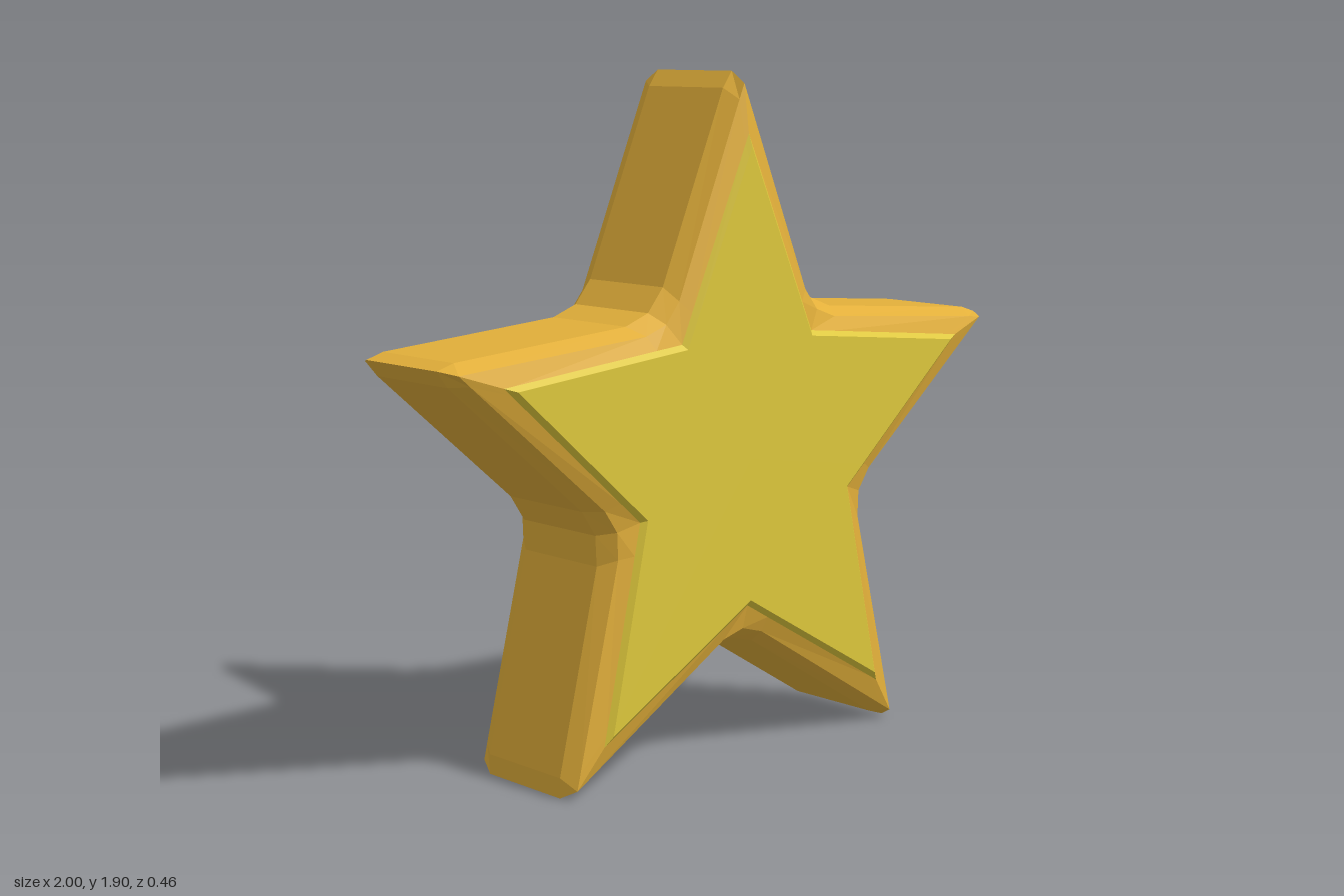
import * as THREE from 'three';

const CENTER_Y = 0.85;

// Closed five-armed outline, counterclockwise; each arm is given by half its points
function starRing(z, { tip, shoulder, corner, notch }, scale = 1) {
  const n = [-notch * Math.sin(Math.PI / 5), notch * Math.cos(Math.PI / 5)];
  const arm = [corner, shoulder, [0, tip], [-shoulder[0], shoulder[1]], [-corner[0], corner[1]], n];
  const ring = [];
  for (let k = 0; k < 5; k++) {
    const a = (k * Math.PI * 2) / 5, c = Math.cos(a) * scale, s = Math.sin(a) * scale;
    for (const [x, y] of arm) ring.push(new THREE.Vector3(x * c - y * s, CENTER_Y + x * s + y * c, z));
  }
  return ring;
}

// Skin a stack of rings running from back to front
function loft(rings, capBack, capFront) {
  const pos = [];
  const tri = (...pts) => pts.forEach((p) => pos.push(p.x, p.y, p.z));
  for (let r = 0; r < rings.length - 1; r++) {
    const a = rings[r], b = rings[r + 1];
    a.forEach((p, i) => {
      const j = (i + 1) % a.length;
      tri(p, a[j], b[j]);
      tri(p, b[j], b[i]);
    });
  }
  const fan = (ring, flip) => {
    const mid = new THREE.Vector3(0, CENTER_Y, ring[0].z);
    ring.forEach((p, i) => {
      const q = ring[(i + 1) % ring.length];
      flip ? tri(mid, q, p) : tri(mid, p, q);
    });
  };
  if (capBack) fan(rings[0], true);
  if (capFront) fan(rings[rings.length - 1], false);
  const g = new THREE.BufferGeometry();
  g.setAttribute('position', new THREE.Float32BufferAttribute(pos, 3));
  g.computeVertexNormals();
  return g;
}

export function createModel() {
  const group = new THREE.Group();
  group.name = 'star';
  const gold = new THREE.MeshStandardMaterial({ name: 'gold', color: 0xe2af3a, flatShading: true });
  const yellow = new THREE.MeshStandardMaterial({ name: 'yellow', color: 0xdec83c, flatShading: true });

  // Outlines: full width, rim edge, and the sharp inner star
  const outer = { tip: 1.05, shoulder: [0.032, 1.005], corner: [0.25, 0.482], notch: 0.515 };
  const rim = { tip: 1.018, shoulder: [0.018, 0.975], corner: [0.236, 0.447], notch: 0.48 };
  const inner = { tip: 0.885, shoulder: [0.012, 0.857], corner: [0.206, 0.416], notch: 0.412 };

  // Thick bevelled body
  const body = new THREE.Mesh(loft([
    starRing(-0.218, inner), starRing(-0.2, rim), starRing(-0.15, outer),
    starRing(0.15, outer), starRing(0.2, rim), starRing(0.218, inner),
  ]), gold);
  body.name = 'body';
  group.add(body);

  // Raised faces on front and back
  const front = new THREE.Mesh(loft([starRing(0.218, inner), starRing(0.232, inner, 0.96)], false, true), yellow);
  front.name = 'frontFace';
  const back = new THREE.Mesh(loft([starRing(-0.232, inner, 0.96), starRing(-0.218, inner)], true, false), yellow);
  back.name = 'backFace';
  group.add(front, back);
  return group;
}
